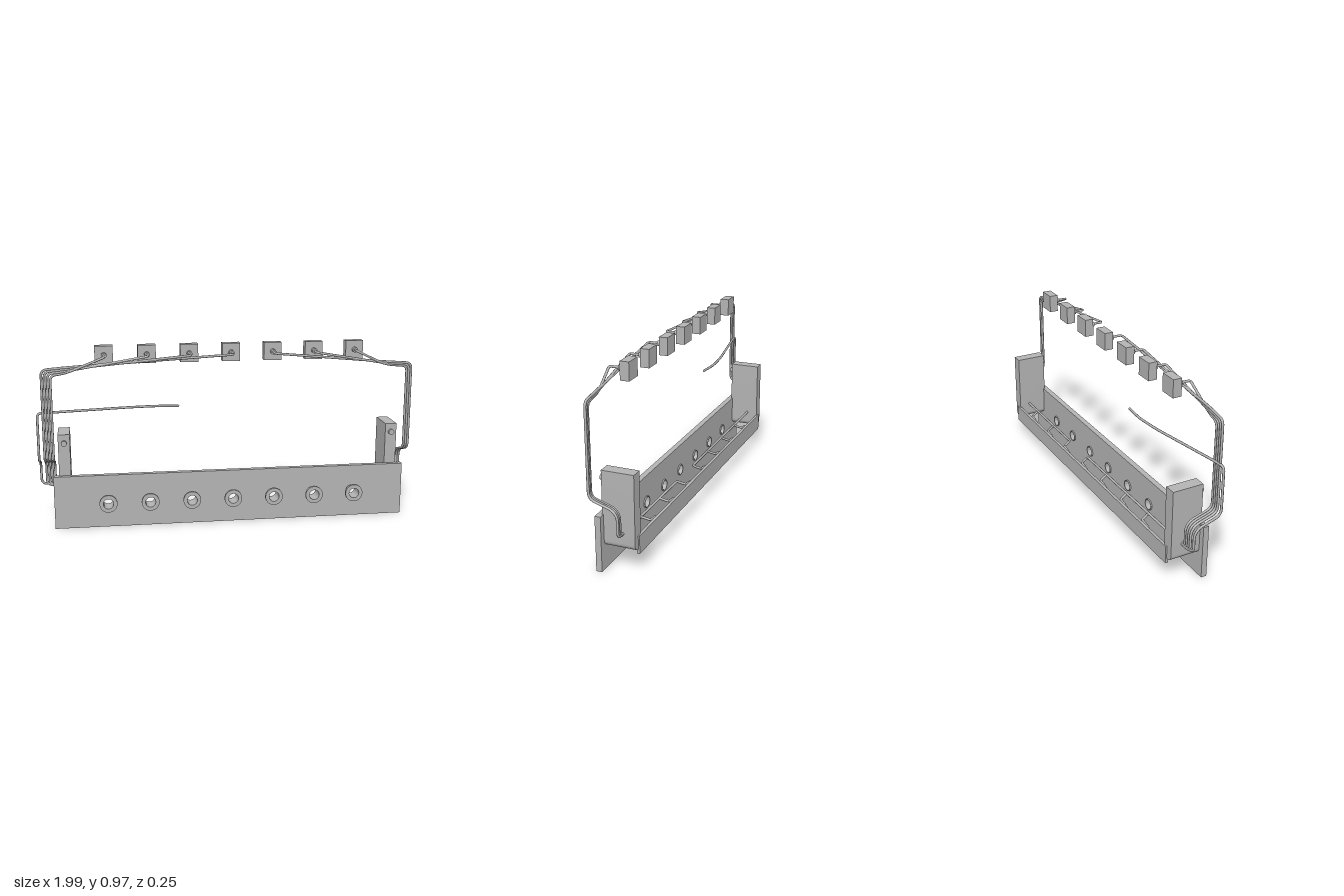
import * as THREE from 'three';
import { toCreasedNormals } from 'three/addons/utils/BufferGeometryUtils.js';

const V = (x, y, z) => new THREE.Vector3(x, y, z);

// Polyline with rounded corners; each point is [x, y, z, bendRadius]
function roundedPath(pts) {
  const path = new THREE.CurvePath();
  let prev = V(...pts[0].slice(0, 3));
  for (let i = 1; i < pts.length; i++) {
    const p = V(...pts[i].slice(0, 3));
    if (i === pts.length - 1) {
      path.add(new THREE.LineCurve3(prev, p));
      break;
    }
    const before = V(...pts[i - 1].slice(0, 3));
    const next = V(...pts[i + 1].slice(0, 3));
    const r = Math.min(pts[i][3] ?? 0.03, before.distanceTo(p) * 0.45, p.distanceTo(next) * 0.45);
    const a = p.clone().add(before.sub(p).setLength(r));
    const b = p.clone().add(next.sub(p).setLength(r));
    path.add(new THREE.LineCurve3(prev, a));
    path.add(new THREE.QuadraticBezierCurve3(a, p, b));
    prev = b;
  }
  return path;
}

export function createModel() {
  const model = new THREE.Group();
  model.name = 'manifoldAssembly';
  const grey = new THREE.MeshStandardMaterial({ color: 0xb3b3b3 });
  grey.name = 'grey';

  const add = (name, geometry, x = 0, y = 0, z = 0) => {
    const mesh = new THREE.Mesh(geometry, grey);
    mesh.name = name;
    mesh.position.set(x, y, z);
    model.add(mesh);
    return mesh;
  };
  const disc = (r, depth) => new THREE.CylinderGeometry(r, r, depth, 32).rotateX(Math.PI / 2);
  const pipe = (name, pts) => {
    add(name, new THREE.TubeGeometry(roundedPath(pts), 220, 0.0065, 8));
    for (const p of [pts[0], pts[pts.length - 1]])
      add(name + 'End', new THREE.SphereGeometry(0.0065, 8, 6), p[0], p[1], p[2]);
  };

  const stations = Array.from({ length: 7 }, (_, i) => 0.021 + (i - 3) * 0.2215);
  const portY = 0.143;

  // Front plate with a round hole at each port
  const plate = new THREE.Shape();
  plate.moveTo(-0.925, 0).lineTo(0.968, 0).lineTo(0.968, 0.285).lineTo(-0.925, 0.285).closePath();
  for (const x of stations) {
    const hole = new THREE.Path();
    hole.absarc(x, portY, 0.027, 0, Math.PI * 2, true);
    plate.holes.push(hole);
  }
  add('frontPlate', new THREE.ExtrudeGeometry(plate, { depth: 0.03, bevelEnabled: false, curveSegments: 32 }), 0, 0, 0.042);

  // Flanged hollow port, turned about z
  const portProfile = [[0.027, 0.035], [0.031, 0.035], [0.031, 0.113], [0.047, 0.113],
    [0.047, 0.128], [0.027, 0.128], [0.027, 0.035]].map(([r, h]) => new THREE.Vector2(r, h));
  const portGeometry = toCreasedNormals(new THREE.LatheGeometry(portProfile, 32).rotateX(Math.PI / 2), 0.6);

  for (const x of stations) {
    add('port', portGeometry, x, portY, 0);
    add('rearDisc', disc(0.045, 0.01), x, portY, -0.104);
    add('topBlock', new THREE.BoxGeometry(0.094, 0.094, 0.047), x, 0.92, 0.0175);
    add('topBlockKnob', disc(0.014, 0.026), x, 0.92, 0.053);
  }

  // Back strip
  add('backStrip', new THREE.BoxGeometry(1.76, 0.093, 0.015), 0.022, 0.1435, -0.1165);

  // Uprights with a rounded foot, and a knob on the front
  const side = new THREE.Shape();
  side.moveTo(0.031, 0.152).lineTo(0.031, 0.507).lineTo(-0.031, 0.507).lineTo(-0.031, 0.152);
  side.absarc(0, 0.152, 0.031, Math.PI, Math.PI * 2, false);
  const uprightGeometry = toCreasedNormals(
    new THREE.ExtrudeGeometry(side, { depth: 0.165, bevelEnabled: false, curveSegments: 20 }), 0.6);
  for (const x of [-0.864, 0.905]) {
    add('upright', uprightGeometry, x, 0, -0.117);
    add('uprightKnob', disc(0.015, 0.016), x, 0.461, 0.056);
  }

  // S-shaped drop shared by every pipe
  const drop = (x) => [[x, 0.38, 0.088, 0.035], [x, 0.335, -0.056, 0.05]];

  // Feed pipes: top block -> side riser -> rear disc
  const feed = (station, x, topY, s) => pipe('feedPipe', [
    [station, 0.92, 0.06],
    [station, 0.92, 0.118, 0.012],
    [s * 0.84, topY + 0.012, 0.097, 0.05],
    [x, topY, 0.088, 0.03],
    ...drop(x),
    [x, 0.206, -0.056, 0.03],
    [station + 0.06, 0.206, -0.058, 0.01],
    [station + 0.045, 0.19, -0.102, 0.005],
    [station, 0.185, -0.104],
  ]);
  [3, 2, 1, 0].forEach((i, k) => feed(stations[i], -0.963 + k * 0.015, 0.858 - k * 0.01, -1));
  [4, 5, 6].forEach((i, k) => feed(stations[i], 0.989 - k * 0.012, 0.848 - k * 0.008, 1));

  // Loose side pipe reaching inward
  pipe('sidePipe', [
    [-0.26, 0.635, 0.012],
    [-0.37, 0.635, 0, 0.06],
    [-0.52, 0.635, 0.012, 0.06],
    [-0.92, 0.635, 0.08, 0.04],
    [-0.992, 0.635, 0.088, 0.025],
    ...drop(-0.992),
    [-0.992, 0.216, -0.056, 0.03],
    [-0.88, 0.21, -0.056],
  ]);

  return model;
}
